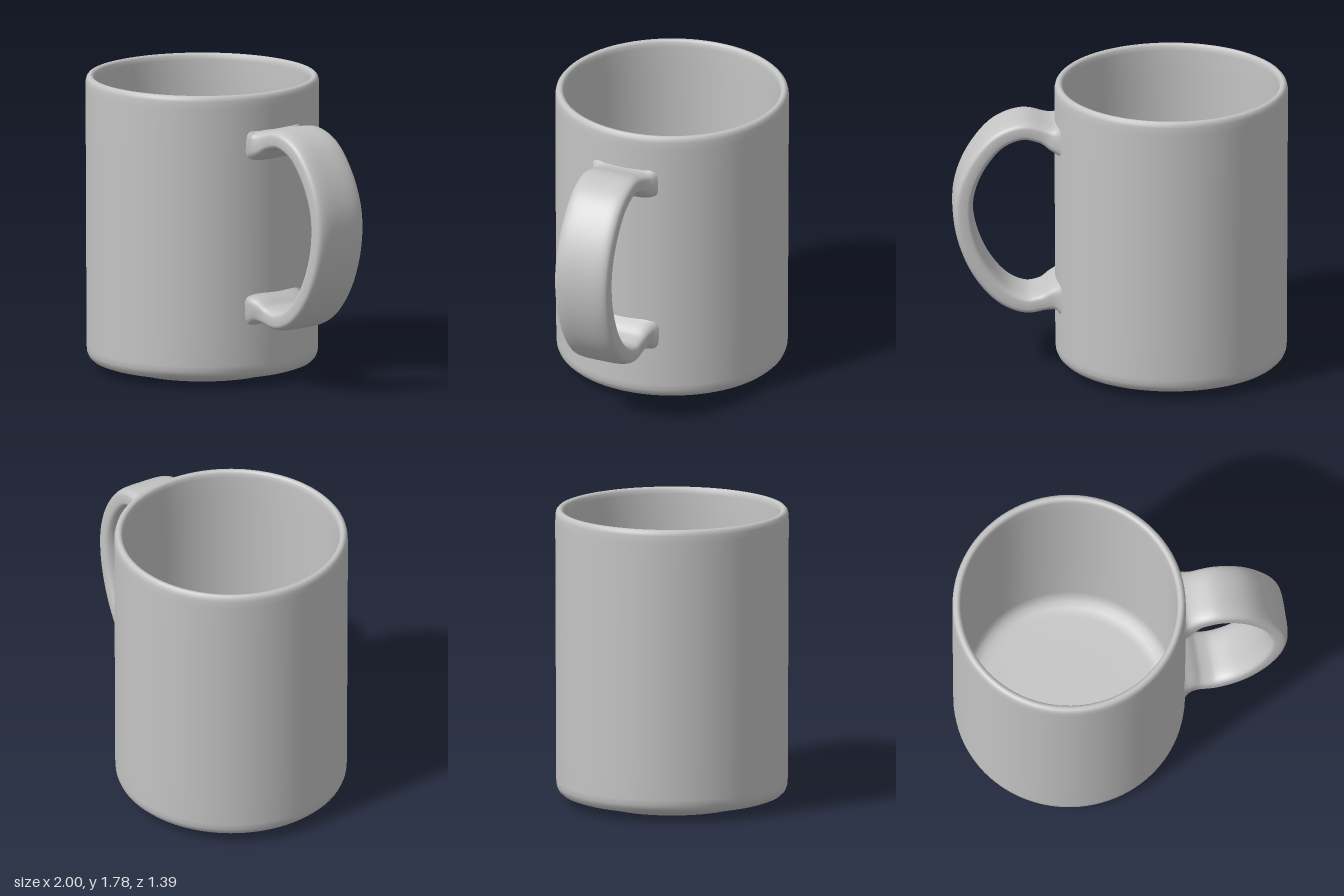
import * as THREE from 'three';

const CUP_X = -0.305;

// Closed profile: underside, foot, outer wall, rim, inner wall, floor
function buildCup() {
  const profile = [
    [0, 0.035], [0.25, 0.035], [0.4, 0.035], [0.41, 0.033], [0.414, 0.006], [0.42, 0],
    [0.435, 0], [0.45, 0.006], [0.48, 0.022], [0.52, 0.032], [0.58, 0.04],
    [0.625, 0.047], [0.655, 0.058], [0.676, 0.078], [0.687, 0.105], [0.69, 0.14],
    [0.691, 0.4], [0.693, 0.9], [0.695, 1.4], [0.696, 1.7],
    [0.695, 1.745], [0.69, 1.765], [0.68, 1.777], [0.668, 1.78],
    [0.656, 1.776], [0.648, 1.765], [0.644, 1.74],
    [0.642, 1.6], [0.64, 0.9], [0.638, 0.22],
    [0.63, 0.17], [0.61, 0.135], [0.575, 0.115], [0.52, 0.107], [0.3, 0.105], [0, 0.105],
  ].map(([r, y]) => new THREE.Vector2(r, y));
  return new THREE.LatheGeometry(profile, 96);
}

// Rounded strap swept along a curve, flaring where it meets the wall
function buildHandle() {
  const curve = new THREE.CatmullRomCurve3([
    [0.345, 1.475], [0.39, 1.478], [0.47, 1.505], [0.58, 1.527], [0.72, 1.475],
    [0.84, 1.34], [0.915, 1.18], [0.938, 1.03], [0.91, 0.83], [0.82, 0.625],
    [0.69, 0.48], [0.56, 0.428], [0.46, 0.444], [0.39, 0.467], [0.345, 0.47],
  ].map(([x, y]) => new THREE.Vector3(x, y, 0)), false, 'centripetal');
  const steps = 100, sides = 40;
  const positions = [], indices = [];
  const squarish = (v) => Math.sign(v) * Math.pow(Math.abs(v), 0.52);

  for (let i = 0; i <= steps; i++) {
    const p = curve.getPointAt(i / steps);
    const t = curve.getTangentAt(i / steps);
    const flare = Math.pow(THREE.MathUtils.clamp((0.48 - p.x) / 0.135, 0, 1), 2);
    const thick = 0.061 + 0.065 * flare;
    const wide = 0.175 + 0.05 * flare;
    for (let j = 0; j < sides; j++) {
      const a = (j / sides) * Math.PI * 2;
      const u = squarish(Math.cos(a)) * thick;
      positions.push(
        Math.max(p.x - t.y * u, 0.342),
        p.y + t.x * u,
        squarish(Math.sin(a)) * wide,
      );
      if (i === steps) continue;
      const k = (j + 1) % sides;
      const a0 = i * sides + j, b0 = i * sides + k;
      indices.push(a0, b0, a0 + sides, b0, b0 + sides, a0 + sides);
    }
  }
  const geometry = new THREE.BufferGeometry();
  geometry.setAttribute('position', new THREE.Float32BufferAttribute(positions, 3));
  geometry.setIndex(indices);
  geometry.computeVertexNormals();
  return geometry;
}

export function createModel() {
  const group = new THREE.Group();
  group.name = 'mug';
  const glaze = new THREE.MeshStandardMaterial({ color: 0xc4c4c4 });
  glaze.name = 'grey glaze';

  const cup = new THREE.Mesh(buildCup(), glaze);
  cup.name = 'cup';
  cup.position.x = CUP_X;

  const handle = new THREE.Mesh(buildHandle(), glaze);
  handle.name = 'handle';

  group.add(cup, handle);
  return group;
}
